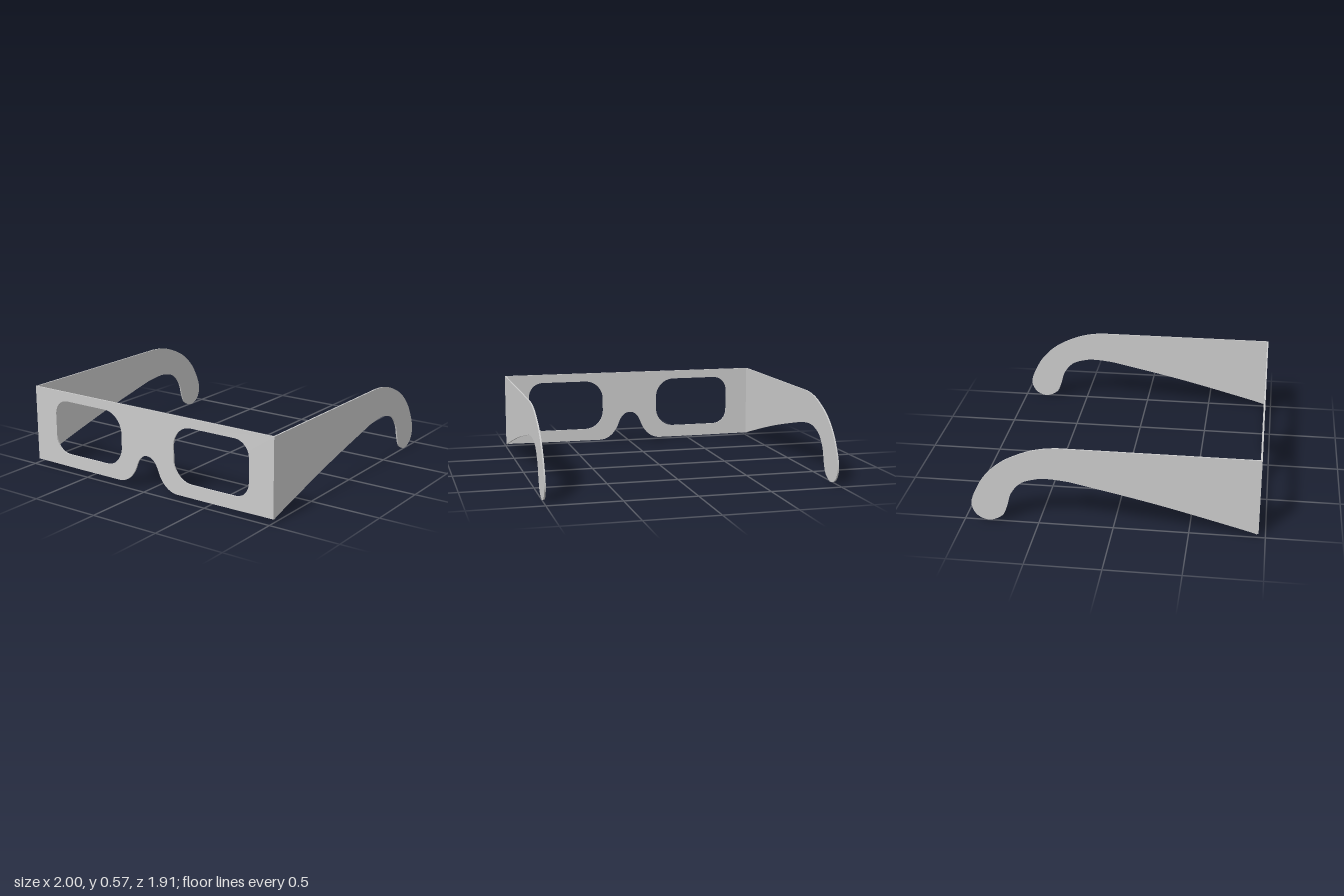
import * as THREE from 'three';
import { toCreasedNormals } from 'three/addons/utils/BufferGeometryUtils.js';

const T = 0.01;        // card thickness
const FRONT = 0.955;   // z of the front face
const TOP = 0.565;

const material = new THREE.MeshStandardMaterial({ color: 0xcccccc });

// Cut a flat card from an outline, with smooth curves and sharp edges
function card(shape, name) {
  const geometry = new THREE.ExtrudeGeometry(shape, { depth: T, bevelEnabled: false, curveSegments: 16 });
  const mesh = new THREE.Mesh(toCreasedNormals(geometry, 0.6), material);
  mesh.name = name;
  return mesh;
}

// Eye opening: tighter corners outside, rounder corners by the nose (s = side)
function eyeOpening(s) {
  const inner = 0.22, outer = 0.815, low = 0.115, high = 0.5;
  const ri = 0.145, ro = 0.11, k = 0.45;
  const p = new THREE.Path();
  p.moveTo(s * (inner + ri), low);
  p.lineTo(s * (outer - ro), low);
  p.bezierCurveTo(s * (outer - ro * k), low, s * outer, low + ro * k, s * outer, low + ro);
  p.lineTo(s * outer, high - ro);
  p.bezierCurveTo(s * outer, high - ro * k, s * (outer - ro * k), high, s * (outer - ro), high);
  p.lineTo(s * (inner + ri), high);
  p.bezierCurveTo(s * (inner + ri * k), high, s * inner, high - ri * k, s * inner, high - ri);
  p.lineTo(s * inner, low + ri);
  p.bezierCurveTo(s * inner, low + ri * k, s * (inner + ri * k), low, s * (inner + ri), low);
  return p;
}

// Front panel with the nose notch and both eye openings
function frontShape() {
  const s = new THREE.Shape();
  s.moveTo(-1, TOP);
  s.lineTo(-1, 0.025);
  s.lineTo(-0.6, 0.022);
  s.lineTo(-0.25, 0.022);
  s.bezierCurveTo(-0.18, 0.022, -0.125, 0.07, -0.095, 0.145);
  s.bezierCurveTo(-0.075, 0.205, -0.045, 0.24, 0, 0.24);
  s.bezierCurveTo(0.045, 0.24, 0.075, 0.205, 0.095, 0.145);
  s.bezierCurveTo(0.125, 0.07, 0.18, 0.022, 0.25, 0.022);
  s.lineTo(0.6, 0.022);
  s.lineTo(1, 0.025);
  s.lineTo(1, TOP);
  s.holes.push(eyeOpening(1), eyeOpening(-1));
  return s;
}

// Temple arm in profile: shape x runs backwards (-z), ending in an ear hook
function templeShape() {
  const points = (list) => list.map(([x, y]) => new THREE.Vector2(x, y));
  const s = new THREE.Shape();
  s.moveTo(T - FRONT, TOP);
  s.lineTo(T - FRONT, 0.022);
  s.splineThru(points([[-0.8, 0.064], [-0.29, 0.197], [0.21, 0.308], [0.32, 0.328], [0.43, 0.337],
    [0.51, 0.33], [0.61, 0.294], [0.68, 0.212], [0.712, 0.11], [0.748, 0.038], [0.835, 0],
    [0.917, 0.033], [0.952, 0.115], [0.923, 0.215], [0.85, 0.338], [0.733, 0.445],
    [0.58, 0.521], [0.46, 0.554], [0.36, TOP]]));
  s.lineTo(T - FRONT, TOP);
  return s;
}

export function createModel() {
  const group = new THREE.Group();
  group.name = 'cardGlasses';

  const front = card(frontShape(), 'frontPanel');
  front.position.z = FRONT - T;
  group.add(front);

  // Arms sit flush with the ends of the panel
  for (const [name, x] of [['leftTemple', 1 - T], ['rightTemple', -1]]) {
    const temple = card(templeShape(), name);
    temple.rotation.y = Math.PI / 2;
    temple.position.x = x;
    group.add(temple);
  }
  return group;
}
